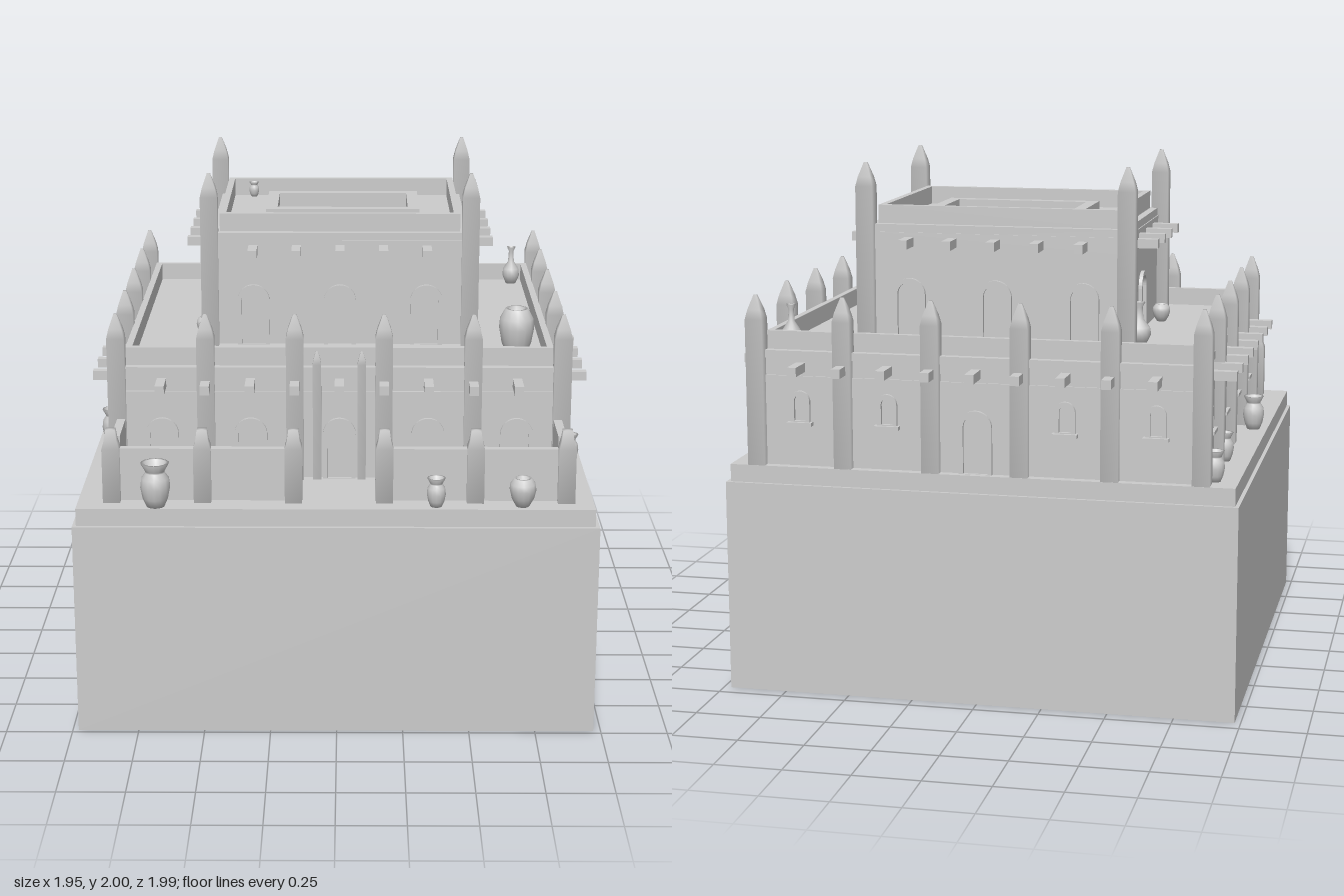
import * as THREE from 'three';

const mat = new THREE.MeshStandardMaterial({ color: 0xcccccc });
const open = new THREE.MeshStandardMaterial({ color: 0xcccccc, side: THREE.DoubleSide });

function add(parent, name, geo, x = 0, y = 0, z = 0, m = mat) {
  const mesh = new THREE.Mesh(geo, m);
  mesh.name = name;
  mesh.position.set(x, y, z);
  parent.add(mesh);
  return mesh;
}

// Box given by its limits
function block(parent, name, x0, x1, y0, y1, z0, z1) {
  return add(parent, name, new THREE.BoxGeometry(x1 - x0, y1 - y0, z1 - z0),
    (x0 + x1) / 2, (y0 + y1) / 2, (z0 + z1) / 2);
}

// Rectangular ring lying flat, with wall thickness t
function ring(parent, name, cx, cz, hx, hz, y0, y1, t) {
  const rect = (P, a, b) => new P([[-a, -b], [a, -b], [a, b], [-a, b]].map(p => new THREE.Vector2(...p)));
  const s = rect(THREE.Shape, hx, hz);
  s.holes.push(rect(THREE.Path, hx - t, hz - t));
  const g = new THREE.ExtrudeGeometry(s, { depth: y1 - y0, bevelEnabled: false });
  g.rotateX(-Math.PI / 2);
  return add(parent, name, g, cx, y0, cz);
}

// Square pillar with a pointed, slightly blunt tip
function pillar(parent, name, x, z, y0, y1, w, tipH, tipW) {
  const r = w / Math.SQRT2, h = y1 - y0;
  const pts = [[0, 0], [r, 0], [r, h - tipH], [r * 0.75, h - tipH * 0.6], [tipW / Math.SQRT2, h], [0, h]];
  const g = new THREE.LatheGeometry(pts.map(p => new THREE.Vector2(...p)), 4);
  g.rotateY(Math.PI / 4);
  add(parent, name, g, x, y0, z);
}

// Rectangle with a rounded arch on top
function archPath(P, w, y0, h) {
  const p = new P(), r = w / 2;
  p.moveTo(-r, y0);
  p.lineTo(r, y0);
  p.lineTo(r, h - r);
  p.absarc(0, h - r, r, 0, Math.PI, false);
  p.lineTo(-r, y0);
  return p;
}

function archFrame(w, h, t, sill) {
  const s = archPath(THREE.Shape, w, 0, h);
  s.holes.push(archPath(THREE.Path, w - 2 * t, sill, h - t));
  return new THREE.ExtrudeGeometry(s, { depth: 0.014, bevelEnabled: false, curveSegments: 8 });
}

// Empty group on one wall of a storey: u runs along the wall, +z points out
function onWall(parent, s, side, u, y) {
  const g = new THREE.Group();
  const p = {
    front: [s.cx + u, s.cz + s.hz, 0], back: [s.cx + u, s.cz - s.hz, Math.PI],
    left: [s.cx + s.hx, s.cz + u, Math.PI / 2], right: [s.cx - s.hx, s.cz + u, -Math.PI / 2],
  }[side];
  g.position.set(p[0], y, p[1]);
  g.rotation.y = p[2];
  parent.add(g);
  return g;
}

function door(parent, s, side, u, y) {
  const g = onWall(parent, s, side, u, y);
  g.name = 'door';
  add(g, 'doorFrame', archFrame(0.125, 0.24, 0.016, 0.001));
}

function windowAt(parent, s, side, u, y) {
  const g = onWall(parent, s, side, u, y);
  g.name = 'window';
  add(g, 'windowFrame', archFrame(0.076, 0.13, 0.016, 0.016));
  add(g, 'windowSill', new THREE.BoxGeometry(0.096, 0.014, 0.04), 0, 0.005, 0.008);
}

function beam(parent, s, side, u, y) {
  const g = onWall(parent, s, side, u, y);
  add(g, 'roofBeam', new THREE.BoxGeometry(0.035, 0.035, 0.15), 0, 0, 0.03);
}

// Walls with a recessed frieze, a ledge and an inset parapet around the roof
function storey(parent, s, y0, roof) {
  const band = (name, d, a, b) =>
    block(parent, name, s.cx - s.hx + d, s.cx + s.hx - d, a, b, s.cz - s.hz + d, s.cz + s.hz - d);
  if (s.court) {
    const depth = roof - 0.06;
    band('walls', 0, y0, depth);
    // Roof slab around the sunken court
    const { x0, x1, z0, z1 } = s.court, L = s.cx - s.hx, R = s.cx + s.hx, B = s.cz - s.hz, F = s.cz + s.hz;
    block(parent, 'roofBack', L, R, depth, roof, B, z0);
    block(parent, 'roofFront', L, R, depth, roof, z1, F);
    block(parent, 'roofSide', L, x0, depth, roof, z0, z1);
    block(parent, 'roofSide', x1, R, depth, roof, z0, z1);
    ring(parent, 'frieze', s.cx, s.cz, s.hx + 0.004, s.hz + 0.004, roof - 0.095, roof - 0.03, 0.02);
  } else {
    band('walls', 0, y0, roof - 0.095);
    band('frieze', 0.008, roof - 0.095, roof - 0.03);
    band('ledge', 0, roof - 0.03, roof);
  }
  ring(parent, 'parapet', s.cx, s.cz, s.hx - 0.03, s.hz - 0.03, roof, roof + 0.07, 0.025);
}

// Pot profiles as fractions of radius and height
const POTS = {
  jar: [[0, 0], [0.6, 0], [0.85, 0.2], [1, 0.45], [0.92, 0.65], [0.65, 0.78], [0.65, 0.82], [0.95, 1], [0.75, 1], [0.5, 0.8], [0, 0.78]],
  bowl: [[0, 0], [0.5, 0], [0.85, 0.3], [1, 0.6], [0.95, 0.8], [0.65, 1], [0.5, 1], [0.5, 0.85], [0, 0.82]],
  bottle: [[0, 0], [0.6, 0], [1, 0.22], [0.9, 0.4], [0.35, 0.6], [0.27, 0.88], [0.5, 1], [0.35, 1], [0.2, 0.88], [0, 0.85]],
};
function pot(parent, kind, x, z, y, r, h) {
  const pts = POTS[kind].map(([a, b]) => new THREE.Vector2(a * r, b * h));
  add(parent, kind, new THREE.LatheGeometry(pts, 14), x, y, z, open);
}

export function createModel() {
  const model = new THREE.Group();
  const G = 0.882, R1 = 1.32, R2 = 1.765;
  const lower = { cx: 0.008, cz: -0.15, hx: 0.843, hz: 0.744 };
  const upper = { cx: 0.008, cz: -0.155, hx: 0.498, hz: 0.402, court: { x0: -0.245, x1: 0.28, z0: -0.325, z1: -0.03 } };

  // Hollow base, open underneath, and the ground slab
  const base = block(model, 'base', -0.978, 0.972, 0, 0.815, -0.942, 0.982);
  const idx = Array.from(base.geometry.index.array);
  idx.splice(18, 6);
  base.geometry.setIndex(idx);
  base.geometry.clearGroups();
  base.material = open;
  block(model, 'groundSlab', -0.964, 0.956, 0.815, G, -0.928, 0.966);

  // Two storeys and the rim of the roof court
  storey(model, lower, G, R1);
  storey(model, upper, R1, R2);
  ring(model, 'courtRim', 0.0175, -0.1775, 0.305, 0.185, R2, R2 + 0.045, 0.045);

  // Pillars around both storeys
  const px = i => lower.cx + (i - 2.5) * 0.338, pz = i => lower.cz + (i - 2) * 0.372;
  for (let i = 0; i < 6; i++)
    for (const z of [pz(0), pz(4)]) pillar(model, 'lowerPillar', px(i), z, G, 1.528, 0.066, 0.09, 0.012);
  for (let i = 1; i < 4; i++)
    for (const x of [px(0), px(5)]) pillar(model, 'lowerPillar', x, pz(i), G, 1.528, 0.066, 0.09, 0.012);
  for (const x of [-1, 1])
    for (const z of [-1, 1])
      pillar(model, 'upperPillar', upper.cx + x * 0.507, upper.cz + z * 0.405, R1, 2, 0.066, 0.09, 0.012);
  for (const x of [-0.077, 0.093]) pillar(model, 'doorPillar', x, 0.607, G, 1.388, 0.032, 0.05, 0.008);

  // Projecting roof beams
  for (const side of ['front', 'back']) {
    for (let i = -4; i <= 4; i++) beam(model, lower, side, i * 0.169, 1.258);
    for (let i = -2; i <= 2; i++) beam(model, upper, side, i * 0.169, 1.7);
  }
  for (const side of ['left', 'right']) {
    for (let i = 0; i < 8; i++) beam(model, lower, side, 0.025 + (i - 3.5) * 0.171, 1.258);
    for (let i = 0; i < 4; i++) beam(model, upper, side, -0.01 + (i - 1.5) * 0.17, 1.7);
  }

  // Doors and windows
  for (let i = -2; i <= 2; i++) {
    door(model, lower, 'front', i * 0.338, G);
    if (i) windowAt(model, lower, 'back', i * 0.338, 1.04);
    else door(model, lower, 'back', 0, G);
  }
  for (const side of ['left', 'right']) {
    for (let i = 0; i < 4; i++) windowAt(model, lower, side, (i - 1.5) * 0.372, 1.04);
    door(model, upper, side, -0.02, R1);
  }
  for (const side of ['front', 'back'])
    for (let i = -1; i <= 1; i++) door(model, upper, side, i * 0.338, R1);

  // Forecourt wall with its short posts
  for (let i = 0; i < 6; i++) pillar(model, 'courtPost', px(i), 0.867, G, 1.16, 0.064, 0.07, 0.036);
  block(model, 'courtWall', px(0), px(2), G, 1.083, 0.833, 0.865);
  block(model, 'courtWall', px(3), px(5), G, 1.083, 0.833, 0.865);
  block(model, 'courtSideWall', px(0), px(0) + 0.032, G, 1.125, 0.59, 0.84);
  block(model, 'courtSideWall', px(5) - 0.032, px(5), G, 1.125, 0.59, 0.84);

  // Pots on the ground and the roofs
  [
    ['jar', -0.67, 0.93, G, 0.056, 0.168], ['jar', 0.368, 0.925, G, 0.036, 0.11],
    ['bowl', 0.688, 0.92, G, 0.05, 0.108], ['jar', 0.737, 0.705, G, 0.037, 0.11],
    ['jar', 0.908, 0.385, G, 0.037, 0.11], ['jar', 0.9, -0.315, G, 0.043, 0.13],
    ['bottle', 0.892, -0.745, G, 0.039, 0.155], ['jar', -0.875, -0.825, G, 0.037, 0.115],
    ['jar', -0.867, -0.475, G, 0.035, 0.11], ['jar', -0.908, 0.135, G, 0.043, 0.135],
    ['bowl', 0.688, 0.425, R1, 0.068, 0.19], ['bottle', 0.75, -0.785, R1, 0.037, 0.16],
    ['bottle', -0.53, -0.46, R1, 0.046, 0.16], ['bowl', -0.53, 0.095, R1, 0.036, 0.07],
    ['jar', -0.355, -0.48, R2, 0.021, 0.06],
  ].forEach(p => pot(model, ...p));

  return model;
}
